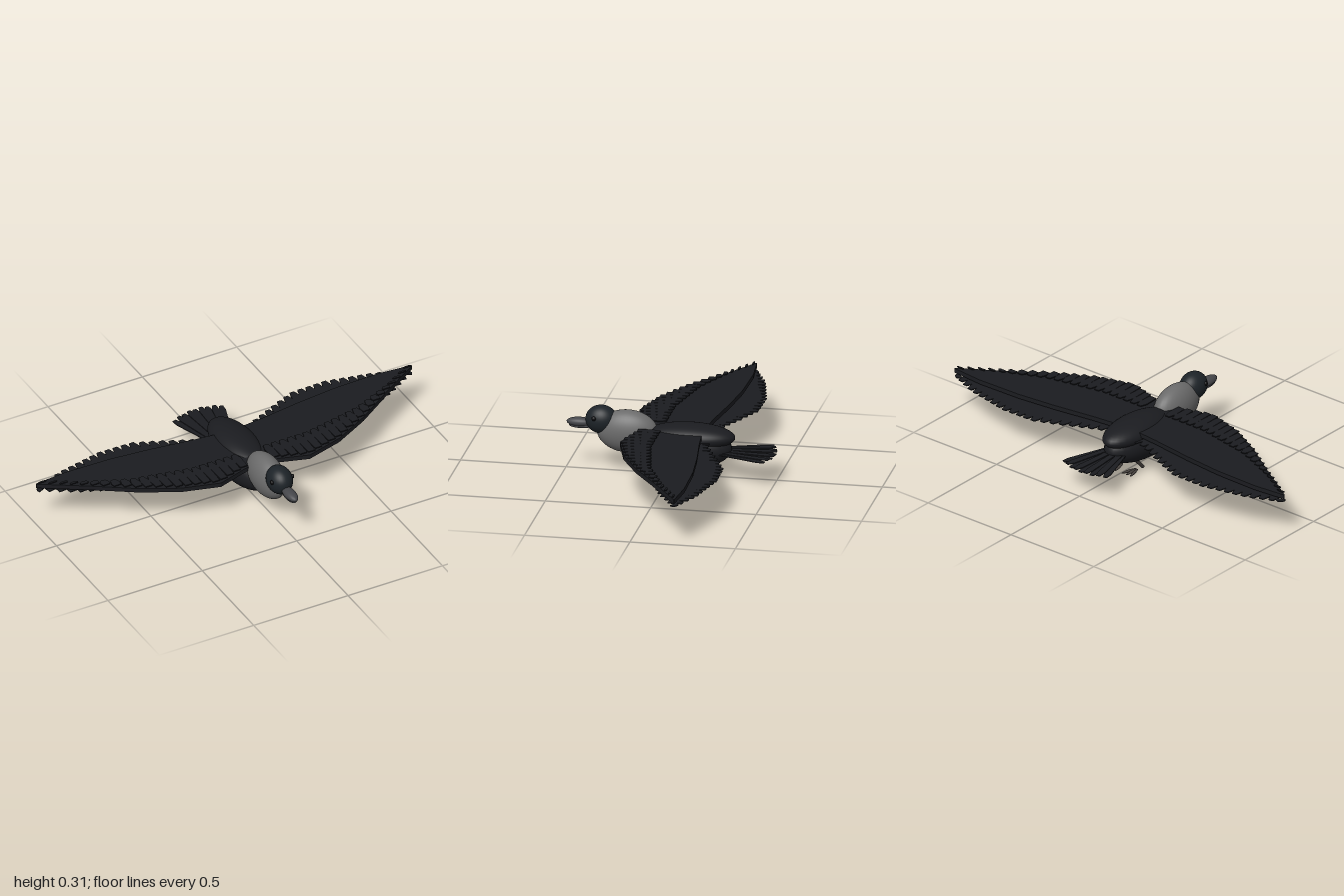
import * as THREE from 'three';

const mat = (color) => new THREE.MeshStandardMaterial({ color });
const plumage = mat(0x1b1c20);
const headDark = mat(0x1d2328);
const grey = mat(0x6b6b6b);
const billGrey = mat(0x45464a);
const legBrown = mat(0x47423f);
const eyeBlack = mat(0x08080a);

function add(parent, name, geometry, material) {
  const mesh = new THREE.Mesh(geometry, material);
  mesh.name = name;
  parent.add(mesh);
  return mesh;
}

// Ellipsoid from centre and radii
function ellipsoid(parent, name, [x, y, z], [rx, ry, rz], material, seg = 32) {
  const geo = new THREE.SphereGeometry(1, seg, Math.round(seg * 0.75)).scale(rx, ry, rz);
  const mesh = add(parent, name, geo, material);
  mesh.position.set(x, y, z);
  return mesh;
}

// Flat slab from an outline of [x, z] points, with its middle at height y
function slab(parent, name, outline, y, thickness) {
  const shape = new THREE.Shape(outline.map(([x, z]) => new THREE.Vector2(x, z)));
  const geo = new THREE.ExtrudeGeometry(shape, { depth: thickness, bevelEnabled: false });
  geo.rotateX(Math.PI / 2).translate(0, y + thickness / 2, 0);
  return add(parent, name, geo, plumage);
}

// Tapered feather with a blunt tip, running from root to tip
function feather(parent, name, [x0, z0], [x1, z1], w0, w1, y, thickness) {
  const len = Math.hypot(x1 - x0, z1 - z0);
  const dx = (x1 - x0) / len, dz = (z1 - z0) / len;
  const at = (t, side) => [x0 + dx * len * t - dz * side, z0 + dz * len * t + dx * side];
  const shoulder = Math.max(0.5, 1 - 0.035 / len);
  slab(parent, name, [
    at(0, -w0 / 2), at(shoulder, -w1 / 2), at(1, -w1 * 0.27),
    at(1, w1 * 0.27), at(shoulder, w1 / 2), at(0, w0 / 2),
  ], y, thickness);
}

// Linear lookup of z along a row of [x, z] points
function zAt(row, x) {
  for (let i = 1; i < row.length; i++) {
    const [xa, za] = row[i - 1], [xb, zb] = row[i];
    if (x <= xb) return za + (zb - za) * (x - xa) / (xb - xa);
  }
  return row[row.length - 1][1];
}

const leading = [[0, 0.13], [0.1, 0.155], [0.235, 0.198], [0.42, 0.145], [0.6, 0.05], [0.78, -0.07], [0.995, -0.205]];
const covertEdge = [[0, 0.05], [0.3, 0.05], [0.6, -0.01], [0.83, -0.11], [0.99, -0.205]];
const vaneEdge = [[0, -0.15], [0.19, -0.17], [0.4, -0.2], [0.6, -0.22], [0.83, -0.225], [0.995, -0.21]];
const trailing = [[0, -0.19], [0.13, -0.2], [0.22, -0.24], [0.33, -0.29], [0.43, -0.33], [0.6, -0.333], [0.83, -0.283], [1, -0.21]];

function wing(s) {
  const g = new THREE.Group();
  g.name = s > 0 ? 'leftWing' : 'rightWing';
  // Central vane
  const outline = [...leading, ...[...vaneEdge].reverse()].map(([x, z]) => [s * x, z]);
  slab(g, 'wingVane', outline, 0.213, 0.022);
  // Flight feathers below, coverts above
  const count = 22, pitch = 0.042;
  for (let i = 0; i < count; i++) {
    const x = 0.085 + i * pitch;
    const tipX = Math.min(x + 0.012 * (i / count), 0.985);
    const tip = [s * tipX, zAt(trailing, tipX)];
    const root = Math.min(zAt(covertEdge, x), zAt(leading, x) - 0.01);
    feather(g, 'flightFeather', [s * x, root], tip, 0.044, 0.043, 0.188, 0.005);
    feather(g, 'covertFeather', [s * x, zAt(leading, x) - 0.008],
      [s * x, zAt(covertEdge, x) - 0.012], 0.036, 0.043, 0.232, 0.005);
  }
  return g;
}

function leg(s) {
  const g = new THREE.Group();
  g.name = s > 0 ? 'leftLeg' : 'rightLeg';
  const shank = add(g, 'shank', new THREE.CylinderGeometry(0.009, 0.008, 0.07, 10), legBrown);
  shank.position.set(s * 0.045, 0.033, -0.115);
  shank.rotation.x = -0.75;
  // Three fanned toes
  for (const k of [-1, 0, 1]) {
    const toe = ellipsoid(g, 'toe', [s * 0.045 + k * 0.015, 0.0135, -0.175], [0.007, 0.006, 0.042], legBrown, 12);
    toe.rotation.y = -k * 0.25;
  }
  return g;
}

export function createModel() {
  const bird = new THREE.Group();
  bird.name = 'bird';

  // Body and back
  ellipsoid(bird, 'body', [0, 0.14, -0.042], [0.11, 0.105, 0.245], plumage);
  ellipsoid(bird, 'back', [0, 0.195, -0.09], [0.098, 0.06, 0.212], plumage);

  // Neck, head and bill
  ellipsoid(bird, 'neck', [0, 0.198, 0.208], [0.072, 0.103, 0.145], grey);
  ellipsoid(bird, 'head', [0, 0.248, 0.332], [0.06, 0.068, 0.075], headDark);
  ellipsoid(bird, 'upperBill', [0, 0.229, 0.435], [0.028, 0.022, 0.062], billGrey, 24);
  ellipsoid(bird, 'lowerBill', [0, 0.212, 0.43], [0.022, 0.013, 0.057], billGrey, 24);
  for (const s of [1, -1]) {
    ellipsoid(bird, s > 0 ? 'leftEye' : 'rightEye', [s * 0.054, 0.265, 0.358], [0.009, 0.011, 0.011], eyeBlack, 16);
    bird.add(wing(s), leg(s));
  }

  // Fan tail
  const tail = new THREE.Group();
  tail.name = 'tail';
  for (let i = -4; i <= 4; i++) {
    const t = i / 4;
    feather(tail, 'tailFeather', [t * 0.05, -0.24], [t * 0.125, -0.497 + 0.033 * t * t],
      0.026, 0.034, 0.13 + (i % 2 ? 0.002 : -0.002), 0.004);
  }
  bird.add(tail);
  return bird;
}
